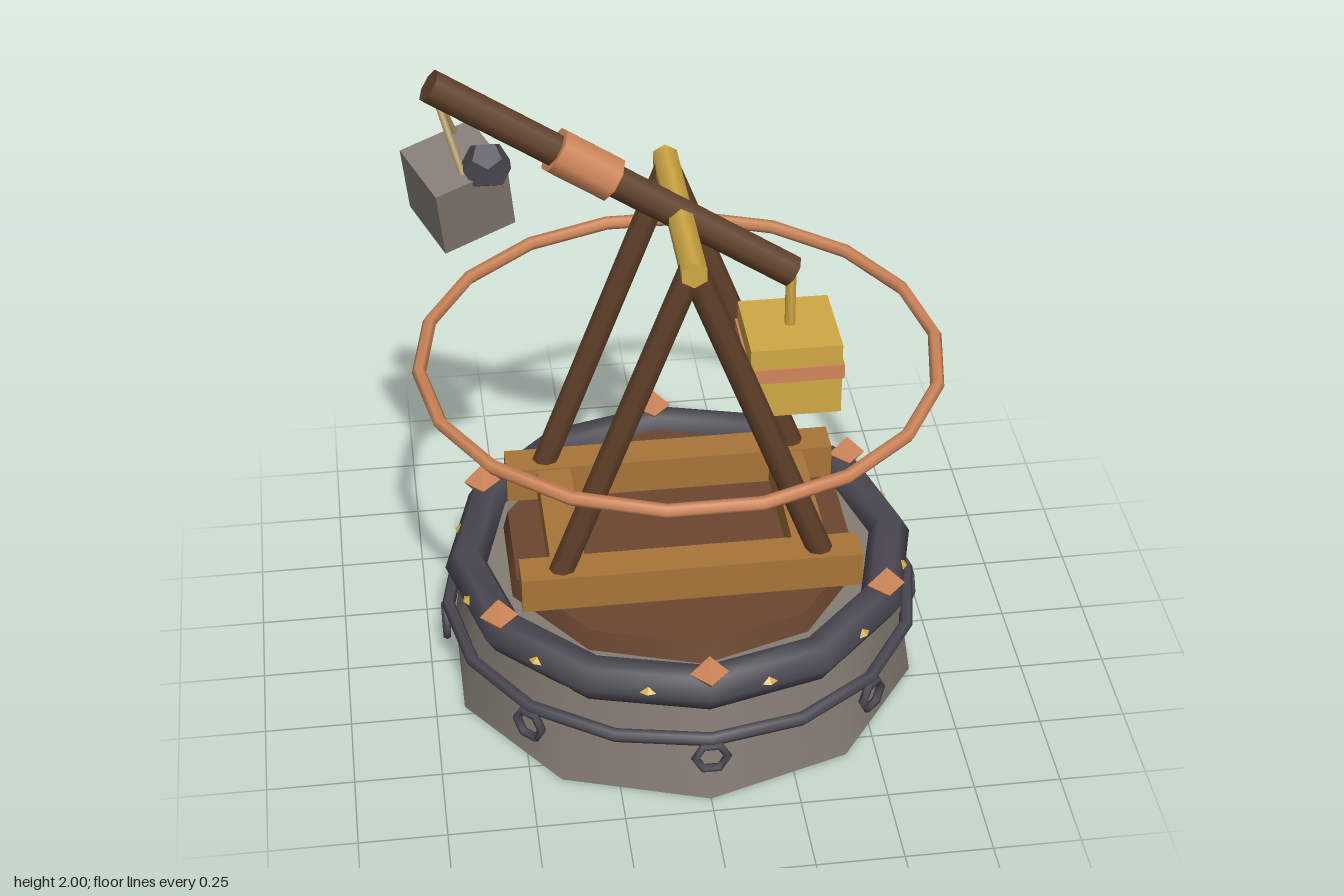
import * as THREE from 'three';

const paint = (color) => new THREE.MeshStandardMaterial({ color });
const stone = paint(0x857d74), iron = paint(0x4b4852), gold = paint(0xd1a944), copper = paint(0xd0875a);
const darkWood = paint(0x5f4029), deckWood = paint(0x6b4630), oak = paint(0xa87538), rope = paint(0xb59a62);
const V = (x, y, z) => new THREE.Vector3(x, y, z);

export function createModel() {
  const model = new THREE.Group();

  const add = (name, geometry, material, x = 0, y = 0, z = 0) => {
    const mesh = new THREE.Mesh(geometry, material);
    mesh.name = name;
    mesh.position.set(x, y, z);
    model.add(mesh);
    return mesh;
  };
  // Round bar between two points
  const bar = (name, a, b, radius, sides, material) => {
    const mesh = add(name, new THREE.CylinderGeometry(radius, radius, a.distanceTo(b), sides), material);
    mesh.position.copy(a).lerp(b, 0.5);
    mesh.quaternion.setFromUnitVectors(V(0, 1, 0), b.clone().sub(a).normalize());
    return mesh;
  };
  // Horizontal ring
  const hoop = (name, radius, tube, segments, material, y) => {
    const mesh = add(name, new THREE.TorusGeometry(radius, tube, 6, segments), material, 0, y, 0);
    mesh.rotation.x = Math.PI / 2;
    return mesh;
  };
  // Repeat around the vertical axis, starting at the front
  const around = (count, radius, offset, place) => {
    for (let i = 0; i < count; i++) {
      const a = offset + (i / count) * Math.PI * 2;
      place(Math.sin(a) * radius, Math.cos(a) * radius, a);
    }
  };

  // Stone base and wooden deck
  add('stoneBase', new THREE.CylinderGeometry(0.645, 0.7, 0.36, 10), stone, 0, 0.18, 0);
  add('deck', new THREE.CylinderGeometry(0.52, 0.54, 0.08, 10), deckWood, 0, 0.38, 0);

  // Iron rim with gold inlays and copper spikes
  hoop('rim', 0.63, 0.063, 12, iron, 0.355);
  around(12, 0.645, Math.PI / 12, (x, z, a) => {
    const inlay = add('inlay', new THREE.OctahedronGeometry(1), gold, x, 0.363, z);
    inlay.scale.set(0.07, 0.025, 0.03);
    inlay.rotation.y = a;
  });
  around(6, 0.645, 0, (x, z) => {
    add('spike', new THREE.OctahedronGeometry(0.055), copper, x, 0.42, z).scale.y = 1.1;
  });

  // Lower iron band with hanging rings
  hoop('lowerBand', 0.69, 0.02, 16, iron, 0.215);
  around(8, 0.7, 0, (x, z, a) => {
    add('hangingRing', new THREE.TorusGeometry(0.046, 0.013, 6, 6), iron, x, 0.158, z).rotation.y = a;
  });

  // Floating copper hoop
  hoop('floatingHoop', 0.735, 0.02, 18, copper, 1.055);

  // Frame and A-shaped supports
  for (const s of [-1, 1]) {
    add('sideBeam', new THREE.BoxGeometry(0.98, 0.11, 0.105), oak, 0, 0.475, s * 0.263);
    add('crossBeam', new THREE.BoxGeometry(0.1, 0.1, 0.44), oak, s * 0.35, 0.475, 0);
    for (const t of [-1, 1])
      bar('supportLeg', V(t * 0.395, 0.46, s * 0.265), V(0, 1.51, s * 0.265), 0.037, 8, darkWood);
  }
  const axle = add('axle', new THREE.CylinderGeometry(0.039, 0.039, 0.63, 6), gold, 0, 1.515, 0);
  axle.rotation.x = Math.PI / 2;

  // Throwing arm with collar
  const tip = V(-0.663, 1.963, 0), heel = V(0.315, 1.306, 0);
  bar('arm', heel, tip, 0.048, 8, darkWood);
  const collarEnd = (t) => heel.clone().lerp(tip, t);
  bar('collar', collarEnd(0.51), collarEnd(0.667), 0.066, 8, copper);

  // Counterweight
  bar('hanger', V(0.315, 1.1, 0), V(0.315, 1.31, 0), 0.016, 6, gold);
  add('counterweight', new THREE.BoxGeometry(0.26, 0.225, 0.26), gold, 0.315, 1.018, 0);
  add('counterweightBand', new THREE.BoxGeometry(0.272, 0.045, 0.272), copper, 0.315, 1.045, 0);

  // Sling ropes, stone block and small rock
  for (const s of [-1, 1])
    bar('slingRope', V(-0.65, 1.94, 0), V(-0.59, 1.74, s * 0.09), 0.01, 6, rope);
  const block = add('stoneBlock', new THREE.BoxGeometry(0.213, 0.213, 0.213), stone, -0.6, 1.65, 0);
  block.rotation.set(0.2, 0.4, 0.1);
  add('smallRock', new THREE.DodecahedronGeometry(0.068), iron, -0.525, 1.757, 0.08);

  return model;
}
